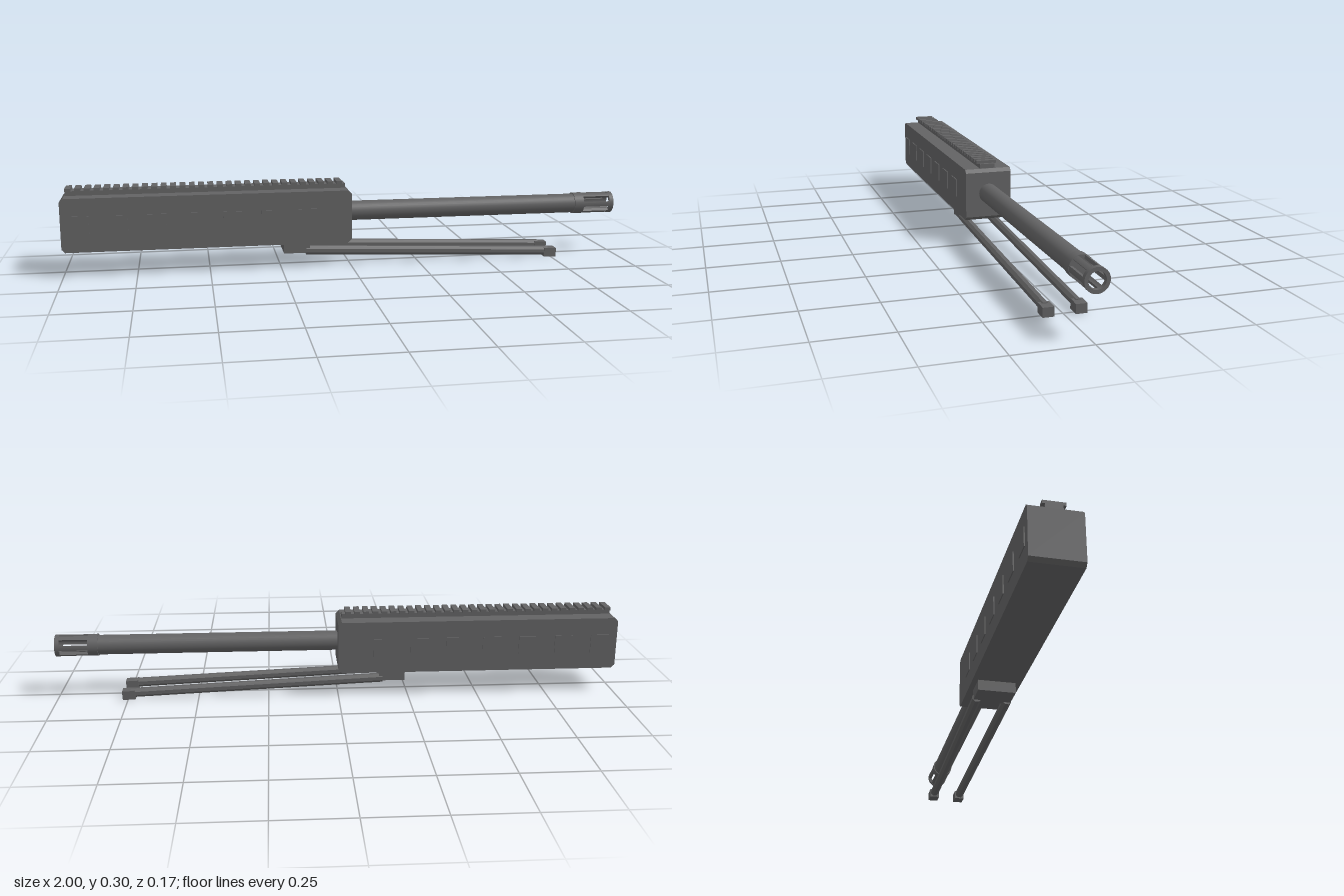
import * as THREE from 'three';

const metal = new THREE.MeshStandardMaterial({ color: 0x626263 });
metal.name = 'darkGreyMetal';

const AXIS_Y = 0.187; // height of the barrel line

function add(parent, name, geometry, x = 0, y = 0, z = 0) {
  const mesh = new THREE.Mesh(geometry, metal);
  mesh.name = name;
  mesh.position.set(x, y, z);
  parent.add(mesh);
  return mesh;
}

// box given by its limits
function box(parent, name, x0, x1, y0, y1, z0, z1) {
  return add(parent, name, new THREE.BoxGeometry(x1 - x0, y1 - y0, z1 - z0),
    (x0 + x1) / 2, (y0 + y1) / 2, (z0 + z1) / 2);
}

// hollow ring lying along x
function ring(parent, name, x0, x1, inner, outer) {
  const points = [[inner, x0], [outer, x0], [outer, x1], [inner, x1], [inner, x0]];
  // separate lathes keep the edges sharp
  for (let i = 0; i < 4; i++) {
    const side = [points[i], points[i + 1]].map(p => new THREE.Vector2(p[0], p[1]));
    const geometry = new THREE.LatheGeometry(side, 32).rotateZ(-Math.PI / 2);
    add(parent, name, geometry, 0, AXIS_Y, 0);
  }
}

// cylinder lying along x
function rod(parent, name, x0, x1, radius) {
  const geometry = new THREE.CylinderGeometry(radius, radius, x1 - x0, 32).rotateZ(-Math.PI / 2);
  add(parent, name, geometry, (x0 + x1) / 2, AXIS_Y, 0);
}

function createHousing() {
  const group = new THREE.Group();
  group.name = 'housing';
  // long block with chamfered ends
  const x0 = -1, x1 = 0, y0 = 0.089, y1 = 0.276, c = 0.012;
  const outline = new THREE.Shape([
    [x0 + c, y0], [x1 - c, y0], [x1, y0 + c], [x1, y1 - c],
    [x1 - c, y1], [x0 + c, y1], [x0, y1 - c], [x0, y0 + c],
  ].map(p => new THREE.Vector2(p[0], p[1])));
  const body = new THREE.ExtrudeGeometry(outline, { depth: 0.168, bevelEnabled: false });
  add(group, 'housingBody', body, 0, 0, -0.084);
  // raised panels on both sides
  for (const s of [-1, 1]) {
    for (let i = 0; i < 7; i++) {
      const x = -0.97 + i * 0.13;
      box(group, 'sidePanel', x, x + 0.065, 0.15, 0.215, s * 0.085 - 0.0025, s * 0.085 + 0.0025);
    }
  }
  return group;
}

function createRail() {
  const group = new THREE.Group();
  group.name = 'topRail';
  box(group, 'railBase', -0.985, -0.015, 0.274, 0.292, -0.027, 0.027);
  const count = 30, pitch = 0.97 / count;
  for (let i = 0; i < count; i++) {
    const x = -0.985 + i * pitch;
    box(group, 'railTooth', x, x + 0.02, 0.291, 0.302, -0.036, 0.036);
  }
  return group;
}

function createBarrel() {
  const group = new THREE.Group();
  group.name = 'barrel';
  rod(group, 'barrelTube', -0.02, 0.86, 0.035);
  rod(group, 'muzzleCollar', 0.85, 0.885, 0.039);
  ring(group, 'muzzleRing', 0.985, 1, 0.027, 0.039);
  // six bars of the open cage
  for (let i = 0; i < 6; i++) {
    const bar = new THREE.Shape();
    const a = 0.24;
    bar.absarc(0, 0, 0.038, -a, a, false);
    bar.absarc(0, 0, 0.027, a, -a, true);
    bar.closePath();
    const geometry = new THREE.ExtrudeGeometry(bar, { depth: 0.104, bevelEnabled: false, curveSegments: 4 });
    geometry.rotateZ(i * Math.PI / 3).rotateY(Math.PI / 2);
    add(group, 'muzzleBar', geometry, 0.883, AXIS_Y, 0);
  }
  return group;
}

function createBipod() {
  const group = new THREE.Group();
  group.name = 'foldedBipod';
  box(group, 'bipodMount', -0.24, -0.147, 0.052, 0.09, -0.065, 0.065);
  const tilt = Math.atan2(-0.038, 0.9);
  for (const s of [-1, 1]) {
    const leg = new THREE.Group();
    leg.name = s > 0 ? 'frontLeg' : 'rearLeg';
    leg.position.set(-0.16, 0.06, s * 0.0525);
    leg.rotation.z = tilt;
    // eight-sided leg with a flat top
    const bar = new THREE.CylinderGeometry(0.0165, 0.0165, 0.9, 8).toNonIndexed();
    bar.rotateY(Math.PI / 8).rotateZ(-Math.PI / 2);
    bar.computeVertexNormals();
    add(leg, 'legBar', bar, 0.45, 0, 0);
    box(leg, 'foot', 0.885, 0.93, -0.02, 0.012, -0.0185, 0.0185);
    group.add(leg);
  }
  return group;
}

export function createModel() {
  const model = new THREE.Group();
  model.name = 'model';
  model.add(createHousing(), createRail(), createBarrel(), createBipod());
  return model;
}
